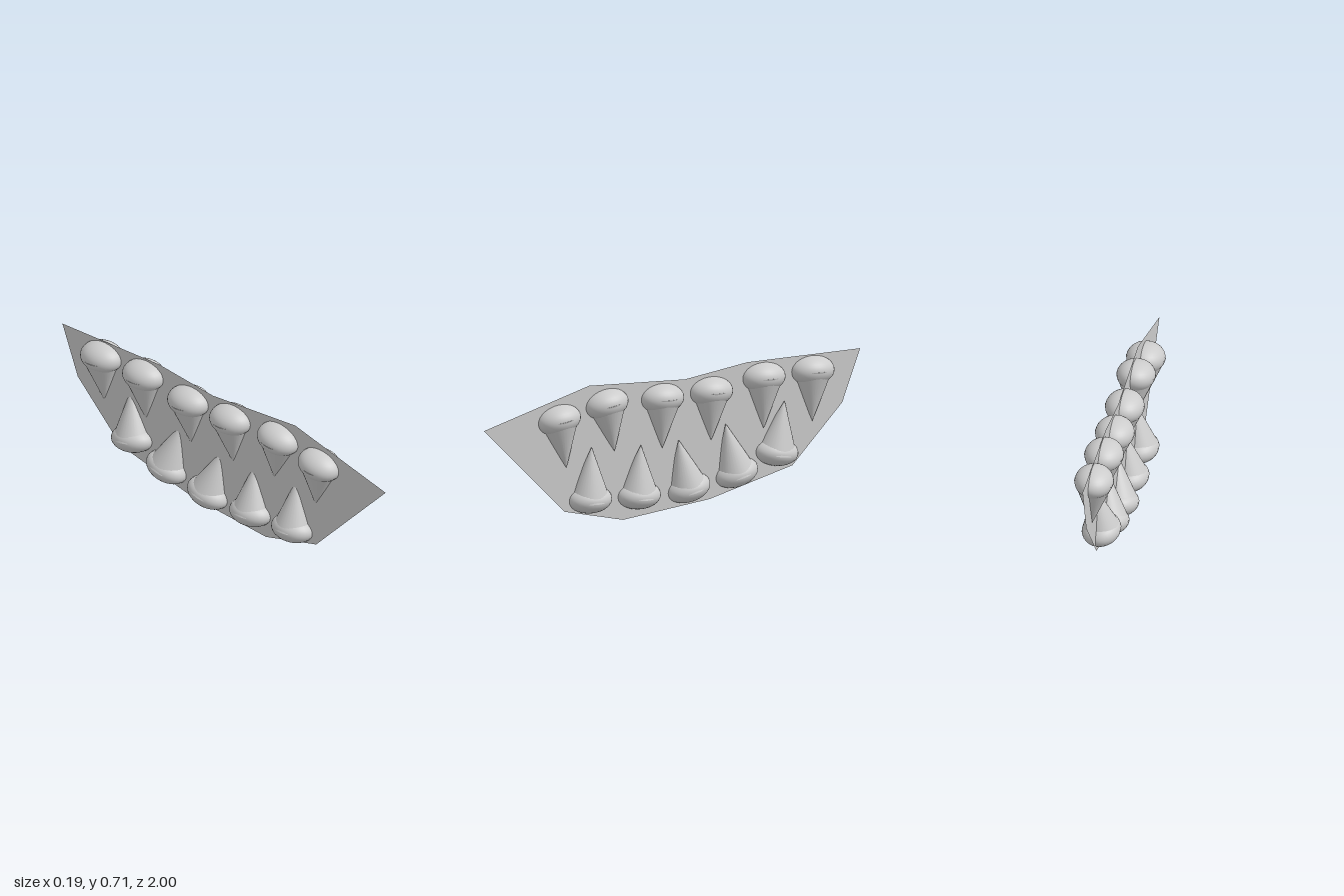
import * as THREE from 'three';

const material = new THREE.MeshStandardMaterial({ color: 0xcccccc });
const sheetMaterial = new THREE.MeshStandardMaterial({ color: 0xcccccc, side: THREE.DoubleSide });

const UP = new THREE.Vector3(0, 1, 0);

// One cone with a flattened round cap over its base; the group's +y points from base to tip
function createCappedCone(name, capZ, capY, tipX, tipZ, tipY, capHalfHeight) {
  const group = new THREE.Group();
  group.name = name;
  const centre = new THREE.Vector3(-0.002, capY, capZ);
  const axis = new THREE.Vector3(tipX, tipY, tipZ).sub(centre);
  const length = axis.length();
  axis.normalize();
  // Lean from the nearer vertical so the long side of the cap stays along z
  const flipped = axis.y < 0;
  if (flipped) axis.negate();
  group.quaternion.setFromUnitVectors(UP, axis);
  group.position.copy(centre);

  const cap = new THREE.Mesh(new THREE.SphereGeometry(1, 32, 18), material);
  cap.name = 'cap';
  cap.scale.set(0.093, capHalfHeight, 0.112);

  const coneGeometry = new THREE.ConeGeometry(1, length, 32);
  coneGeometry.translate(0, length / 2, 0);
  if (flipped) coneGeometry.rotateX(Math.PI);
  const cone = new THREE.Mesh(coneGeometry, material);
  cone.name = 'cone';
  cone.scale.set(0.095, 1, 0.101);

  group.add(cap, cone);
  return group;
}

export function createModel() {
  const model = new THREE.Group();
  model.name = 'coneSheet';

  // Thin upright sheet, outlined as (z, y)
  const outline = [
    [1, 0.505], [0.44, 0.67], [-0.07, 0.65], [-0.4, 0.7], [-1, 0.708],
    [-0.905, 0.455], [-0.64, 0.175], [-0.2, 0.055], [0.26, 0], [0.57, 0.07],
  ];
  const shape = new THREE.Shape(outline.map(([z, y]) => new THREE.Vector2(z, y)));
  const sheetGeometry = new THREE.ShapeGeometry(shape);
  sheetGeometry.rotateY(-Math.PI / 2);
  const sheet = new THREE.Mesh(sheetGeometry, sheetMaterial);
  sheet.name = 'sheet';
  sheet.position.x = 0.007;
  model.add(sheet);

  // Upper row points down: cap z, cap y, tip z, tip y
  const upper = [
    [0.6, 0.52, 0.563, 0.283],
    [0.347, 0.572, 0.307, 0.338],
    [0.052, 0.57, 0.054, 0.328],
    [-0.208, 0.577, -0.206, 0.34],
    [-0.487, 0.619, -0.485, 0.37],
    [-0.747, 0.626, -0.743, 0.381],
  ];
  upper.forEach(([cz, cy, tz, ty], i) =>
    model.add(createCappedCone(`upperCone${i + 1}`, cz, cy, 0.012, tz, ty, 0.072)));

  // Lower row points up
  const lower = [
    [0.435, 0.118, 0.438, 0.377],
    [0.176, 0.112, 0.176, 0.361],
    [-0.088, 0.122, -0.024, 0.366],
    [-0.342, 0.17, -0.274, 0.42],
    [-0.556, 0.249, -0.588, 0.5],
  ];
  lower.forEach(([cz, cy, tz, ty], i) =>
    model.add(createCappedCone(`lowerCone${i + 1}`, cz, cy, 0.028, tz, ty, 0.066)));

  return model;
}
